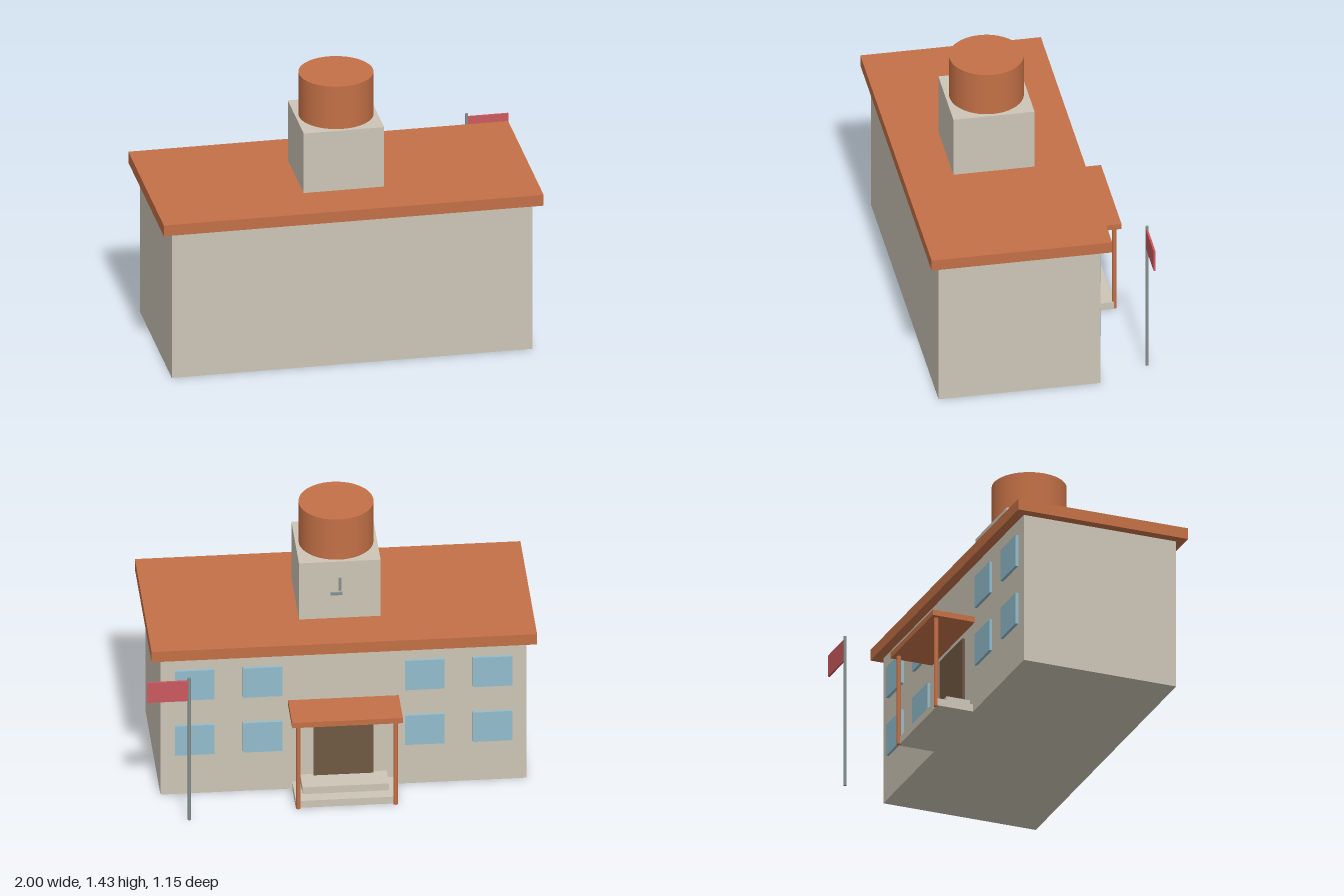
import * as THREE from 'three';

const mat = (name, color) => {
  const m = new THREE.MeshStandardMaterial({ color });
  m.name = name;
  return m;
};

export function createModel() {
  const group = new THREE.Group();
  const wall = mat('beige plaster', 0xcdc6b7);
  const roof = mat('terracotta', 0xc37046);
  const glass = mat('window blue', 0x92bccc);
  const wood = mat('door brown', 0x6f5842);
  const cloth = mat('flag red', 0xcb5a5e);
  const metal = mat('grey metal', 0x87918f);

  const CX = -0.0225; // symmetry axis of the building
  const WALL = -0.305; // entrance wall

  const add = (name, geo, material, x, y, z) => {
    const mesh = new THREE.Mesh(geo, material);
    mesh.name = name;
    mesh.position.set(x, y, z);
    group.add(mesh);
    return mesh;
  };
  // Box given by centre x, width, and its y and z limits
  const box = (name, m, x, w, y0, y1, z0, z1) =>
    add(name, new THREE.BoxGeometry(w, y1 - y0, z1 - z0), m, x, (y0 + y1) / 2, (z0 + z1) / 2);
  // Upright cylinder given by its y limits
  const column = (name, m, x, z, r, y0, y1, sides) =>
    add(name, new THREE.CylinderGeometry(r, r, y1 - y0, sides), m, x, (y0 + y1) / 2, z);

  // Main building and roof slab
  box('building', wall, CX, 1.86, 0, 0.81, WALL, 0.53);
  box('roof', roof, CX, 1.96, 0.81, 0.87, -0.355, 0.575);

  // Clock tower with a round cap
  box('tower', wall, CX, 0.415, 0.87, 1.2, -0.1, 0.318);
  column('towerCap', roof, CX, 0.109, 0.19, 1.2, 1.435, 48);
  box('minuteHand', metal, CX, 0.014, 1.037, 1.11, -0.115, -0.106);
  box('hourHand', metal, -0.005, 0.06, 1.011, 1.026, -0.115, -0.106);

  // Two storeys of windows on either side of the entrance
  for (const side of [-1, 1])
    for (const dx of [0.412, 0.757])
      for (const y of [0.233, 0.555])
        box('window', glass, CX + side * dx, 0.2, y, y + 0.172, WALL - 0.015, WALL);

  // Entrance: door, steps, canopy and posts
  box('door', wood, CX, 0.305, 0.08, 0.453, WALL - 0.015, WALL);
  box('lowerStep', wall, CX, 0.52, 0, 0.04, -0.5, WALL);
  box('upperStep', wall, CX, 0.44, 0.04, 0.08, -0.434, WALL);
  box('canopy', roof, CX, 0.563, 0.49, 0.52, -0.534, WALL);
  for (const side of [-1, 1])
    column('canopyPost', roof, CX + side * 0.247, -0.503, 0.0115, 0, 0.49, 16);

  // Flagpole and flag
  column('flagpole', metal, 0.785, -0.566, 0.008, 0, 0.833, 16);
  box('flag', cloth, 0.895, 0.21, 0.7, 0.817, -0.571, -0.561);

  return group;
}
